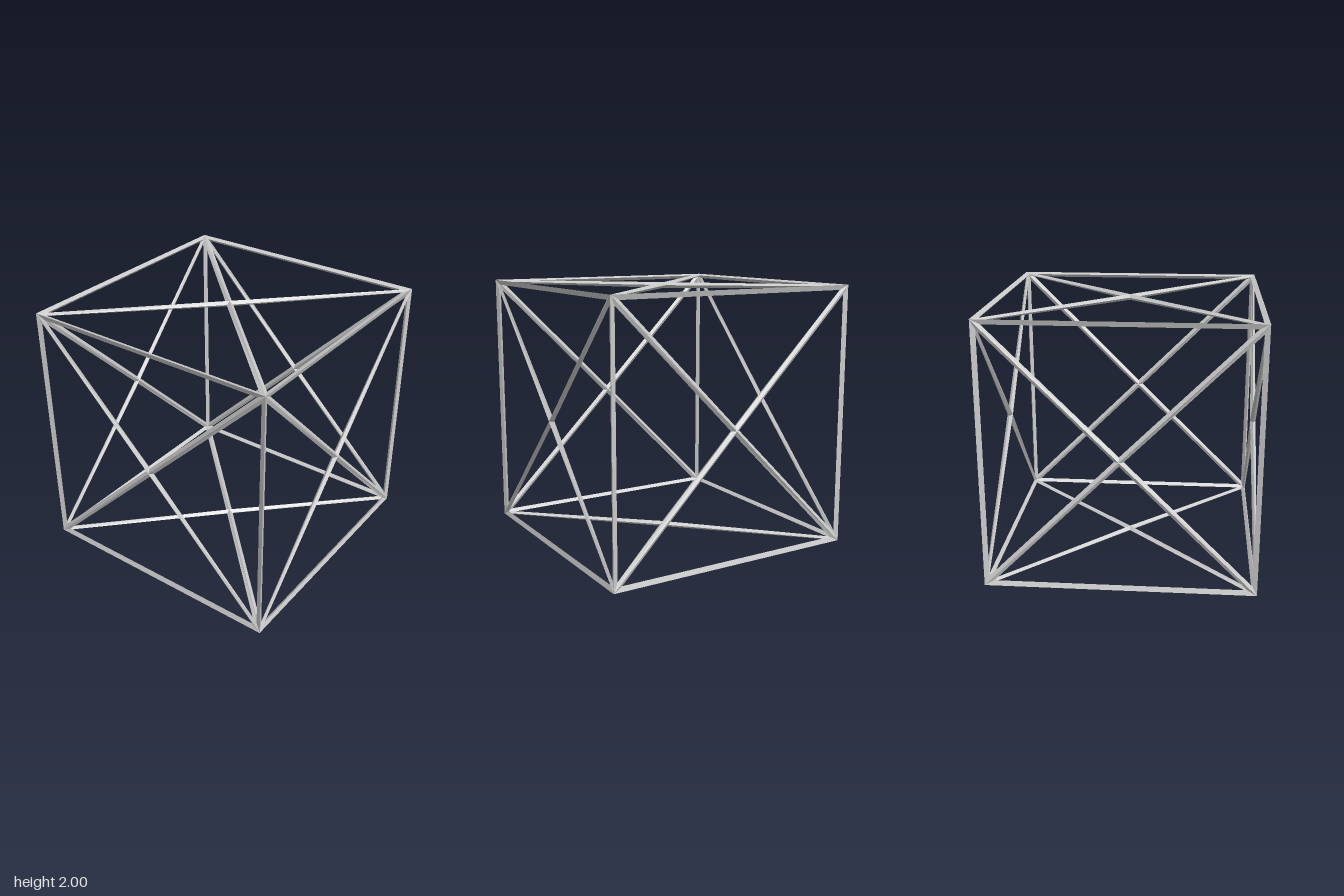
import * as THREE from 'three';

const DEPTH = 0.044;  // strut thickness, measured inward
const INSET = 0.0245; // strut half width within a face

// One panel corner: outer ridge point, mid side point and inner ridge point
function strutCorner(v, next, prev) {
  // cube corners lean in along their diagonal, face centres straight in
  const normal = v.clone().normalize();
  const toNext = next.clone().sub(v).normalize();
  const toPrev = prev.clone().sub(v).normalize();
  const inset = toNext.clone().add(toPrev).multiplyScalar(INSET / Math.sin(toNext.angleTo(toPrev)));
  return {
    outer: v,
    mid: v.clone().add(inset).addScaledVector(normal, -DEPTH / 2),
    inner: v.clone().addScaledVector(normal, -DEPTH),
  };
}

function addQuad(list, a, b, c, d) {
  for (const p of [a, b, c, a, c, d]) list.push(p.x, p.y + 1, p.z);
}

function makeMesh(name, positions, material) {
  const geometry = new THREE.BufferGeometry();
  geometry.setAttribute('position', new THREE.Float32BufferAttribute(positions, 3));
  geometry.computeVertexNormals();
  const mesh = new THREE.Mesh(geometry, material);
  mesh.name = name;
  return mesh;
}

export function createModel() {
  const group = new THREE.Group();
  group.name = 'crossBracedCube';
  const material = new THREE.MeshStandardMaterial({ color: 0xcccccc, flatShading: true });
  const edges = [];
  const braces = [];

  const axes = [new THREE.Vector3(1, 0, 0), new THREE.Vector3(0, 1, 0), new THREE.Vector3(0, 0, 1)];
  for (let axis = 0; axis < 3; axis++) {
    for (const sign of [1, -1]) {
      // Face centre and its four corners, counter-clockwise from outside
      const centre = axes[axis].clone().multiplyScalar(sign);
      const u = axes[(axis + 1) % 3].clone().multiplyScalar(sign);
      const w = axes[(axis + 2) % 3];
      const corners = [[-1, -1], [1, -1], [1, 1], [-1, 1]].map(([s, t]) =>
        centre.clone().addScaledVector(u, s).addScaledVector(w, t));

      // Four triangular openings per face, each rimmed by three half struts
      for (let i = 0; i < 4; i++) {
        const tri = [corners[i], corners[(i + 1) % 4], centre];
        const rim = tri.map((v, j) => strutCorner(v, tri[(j + 1) % 3], tri[(j + 2) % 3]));
        for (let j = 0; j < 3; j++) {
          const a = rim[j];
          const b = rim[(j + 1) % 3];
          const list = j === 0 ? edges : braces;
          addQuad(list, a.outer, b.outer, b.mid, a.mid);
          addQuad(list, a.mid, b.mid, b.inner, a.inner);
        }
      }
    }
  }

  group.add(makeMesh('cubeEdges', edges, material));
  group.add(makeMesh('diagonalBraces', braces, material));
  return group;
}
